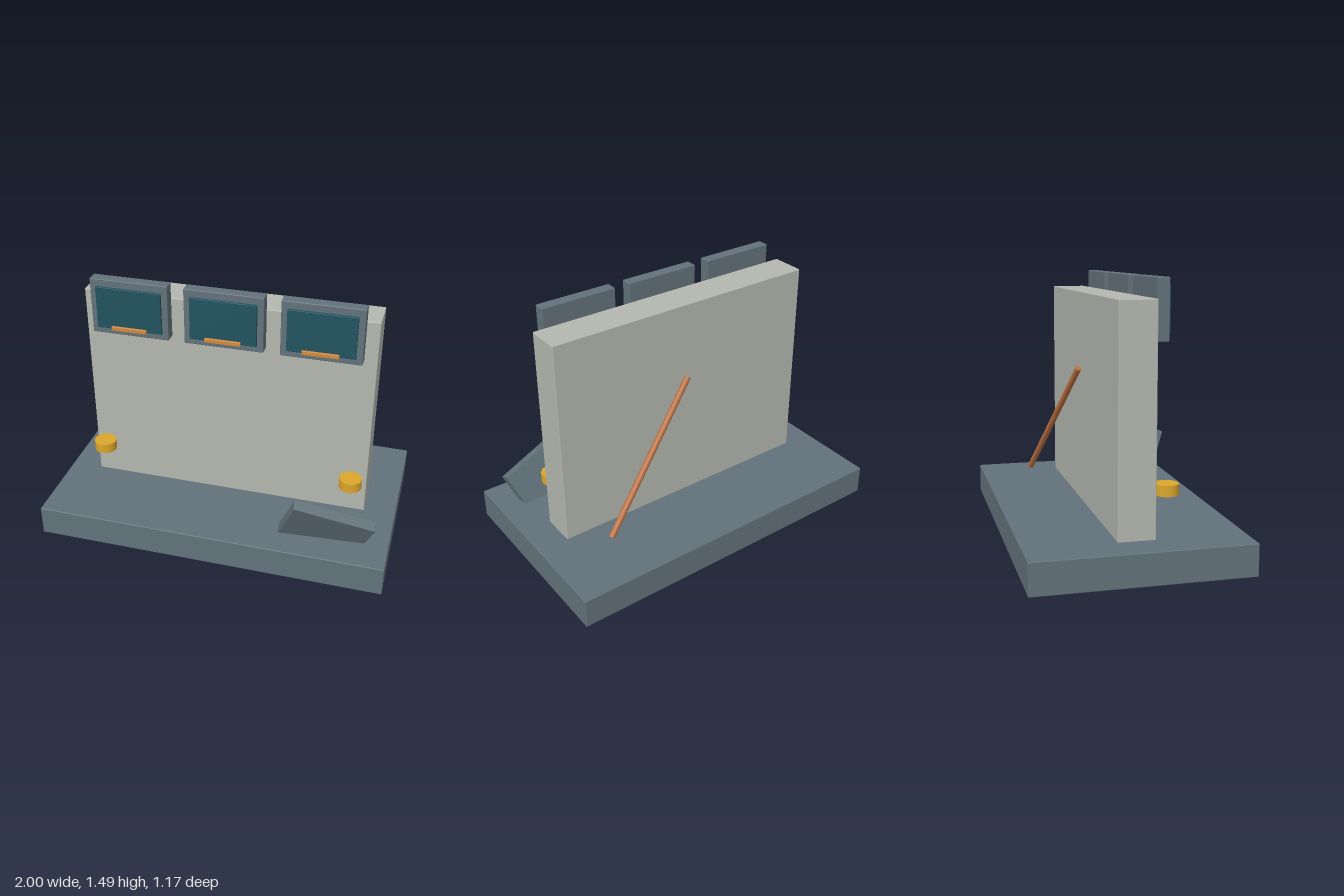
import * as THREE from 'three';
import { RoundedBoxGeometry } from 'three/addons/geometries/RoundedBoxGeometry.js';

const paint = (color) => new THREE.MeshStandardMaterial({ color });
const slate = paint(0x62727a), stone = paint(0xb4b7af), glass = paint(0x21535f);
const orange = paint(0xd08a3e), gold = paint(0xdca62c), copper = paint(0xba7040);

export function createModel() {
  const model = new THREE.Group();
  const add = (name, geometry, material, x, y, z, parent = model) => {
    const mesh = new THREE.Mesh(geometry, material);
    mesh.name = name;
    mesh.position.set(x, y, z);
    parent.add(mesh);
    return mesh;
  };
  // Box with a small softened edge
  const box = (w, h, d, r = 0.005) => new RoundedBoxGeometry(w, h, d, 2, r);

  // Plinth and upright wall
  add('base', box(2, 0.175, 1.17), slate, 0, 0.0875, 0);
  add('wall', box(1.64, 1.225, 0.2), stone, 0, 0.7725, 0);

  // Row of three screens along the top of the wall
  for (const x of [-0.53, 0, 0.53]) {
    const monitor = new THREE.Group();
    monitor.name = 'monitor';
    monitor.position.set(x, 1.327, 0);
    add('monitorCase', box(0.44, 0.32, 0.066), slate, 0, 0, 0.148, monitor);
    add('screen', box(0.37, 0.24, 0.024, 0.003), glass, 0, -0.002, 0.184, monitor);
    add('screenBar', box(0.2, 0.024, 0.014, 0.003), orange, 0, -0.115, 0.202, monitor);
    model.add(monitor);
  }

  // Pair of round knobs in front of the wall
  for (const side of [-1, 1])
    add('knob', new THREE.CylinderGeometry(0.064, 0.064, 0.058, 24), gold, side * 0.737, 0.415, 0.178);

  // Rod leaning against the back of the wall
  const top = new THREE.Vector3(0.002, 0.949, -0.118), foot = new THREE.Vector3(0.648, 0.236, -0.294);
  const along = top.clone().sub(foot);
  const middle = top.clone().add(foot).multiplyScalar(0.5);
  const rod = add('rod', new THREE.CylinderGeometry(0.018, 0.018, along.length(), 16), copper, ...middle);
  rod.quaternion.setFromUnitVectors(new THREE.Vector3(0, 1, 0), along.normalize());

  // Fallen slab, tilted and sunk into the base
  const across = new THREE.Vector3(0.94, -0.281, -0.194).normalize();
  const up = new THREE.Vector3(0.06, -0.42, 0.905).cross(across).normalize();
  const out = across.clone().cross(up);
  const slab = add('fallenSlab', box(0.463, 0.33, 0.062), slate, 0.65, 0.258, 0.414);
  slab.quaternion.setFromRotationMatrix(new THREE.Matrix4().makeBasis(across, up, out));

  return model;
}
